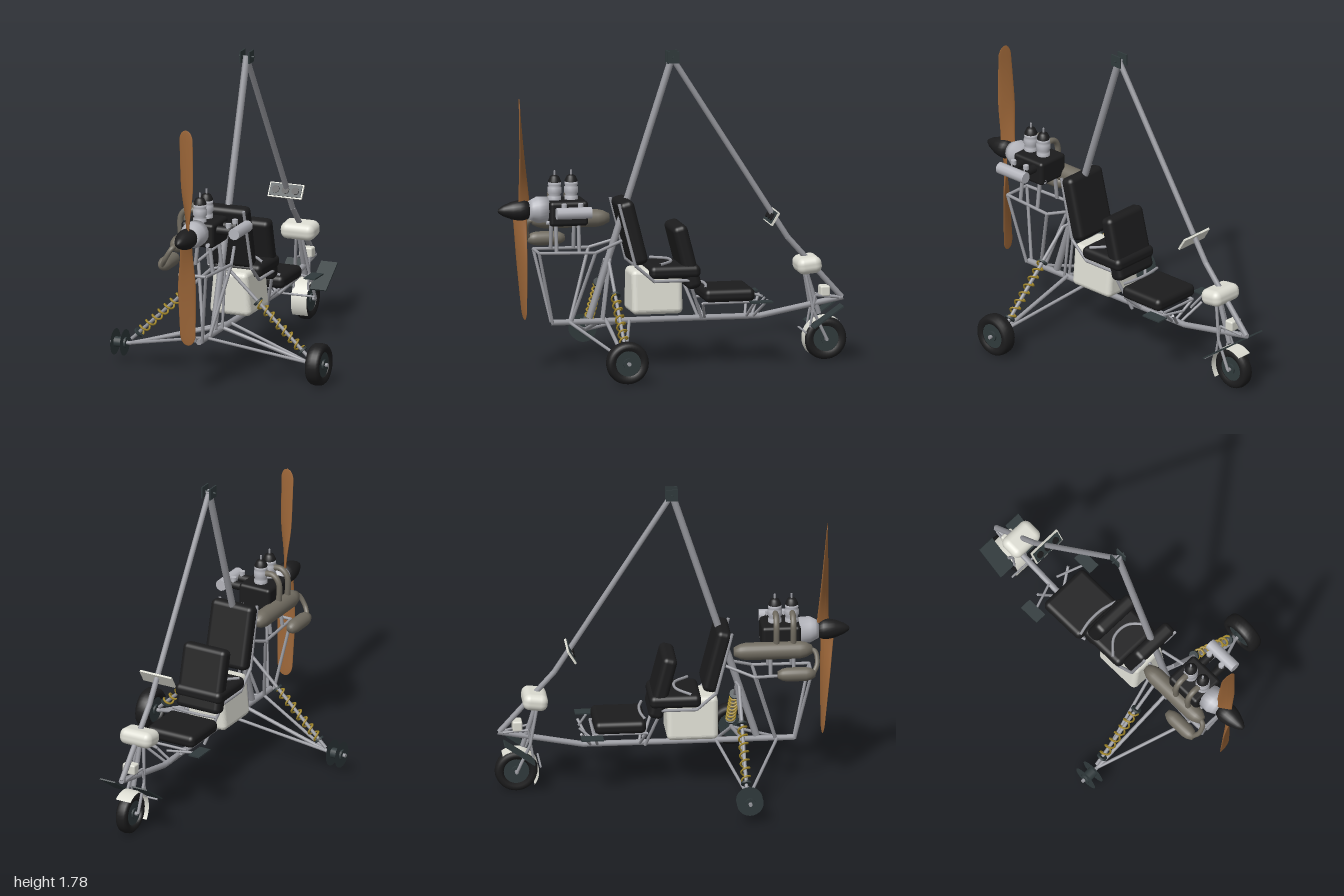
import * as THREE from 'three';
import { mergeGeometries } from 'three/addons/utils/BufferGeometryUtils.js';
import { RoundedBoxGeometry } from 'three/addons/geometries/RoundedBoxGeometry.js';

const V = (x, y, z) => new THREE.Vector3(x, y, z);

export function createModel() {
  const model = new THREE.Group();
  const mat = (name, color, side = THREE.FrontSide) => {
    const m = new THREE.MeshStandardMaterial({ color, side });
    m.name = name;
    return m;
  };
  const steel = mat('tube grey', 0x97989e);
  const alloy = mat('engine alloy', 0xb4b5bc);
  const black = mat('black', 0x1c1c1d);
  const dark = mat('dark slate', 0x303a3c, THREE.DoubleSide);
  const white = mat('off white', 0xdcdcd2, THREE.DoubleSide);
  const wood = mat('propeller wood', 0x9c6638);
  const exhaust = mat('exhaust grey', 0x706b60);
  const yellow = mat('spring yellow', 0xa58a2c);

  const add = (name, geo, material, x = 0, y = 0, z = 0, rx = 0) => {
    const m = new THREE.Mesh(geo, material);
    m.name = name;
    m.position.set(x, y, z);
    m.rotation.x = rx;
    model.add(m);
    return m;
  };
  // Straight tubes through a list of [x, y, z] points
  const rod = (name, pts, r, material = steel) => {
    const parts = [];
    for (let i = 0; i + 1 < pts.length; i++) {
      const a = V(...pts[i]), b = V(...pts[i + 1]), d = b.clone().sub(a);
      const g = new THREE.CylinderGeometry(r, r, d.length(), 10);
      g.applyQuaternion(new THREE.Quaternion().setFromUnitVectors(V(0, 1, 0), d.normalize()));
      const c = a.add(b).multiplyScalar(0.5);
      parts.push(g.translate(c.x, c.y, c.z));
    }
    return add(name, mergeGeometries(parts), material);
  };
  const pipe = (name, pts, r, material) => add(name, new THREE.TubeGeometry(
    new THREE.CatmullRomCurve3(pts.map(p => V(...p))), 30, r, 10), material);
  const rbox = (name, w, h, d, r, material, x, y, z, rx) =>
    add(name, new RoundedBoxGeometry(w, h, d, 4, r), material, x, y, z, rx);
  const box = (name, w, h, d, material, x, y, z, rx) =>
    add(name, new THREE.BoxGeometry(w, h, d), material, x, y, z, rx);
  const lathe = (pts, n = 24) => new THREE.LatheGeometry(pts.map(p => new THREE.Vector2(...p)), n);
  const both = fn => [1, -1].forEach(fn);

  // Keel, mast and front strut
  rod('keel', [[0, 0.27, 0.69], [0, 0.27, -0.5], [0, 0.36, -0.975]], 0.017);
  rod('mast', [[0, 0.29, 0.476], [0, 1.76, 0]], 0.02);
  rod('frontStrut', [[0, 1.75, 0], [0, 0.71, -0.66], [0, 0.36, -0.97]], 0.016);
  both(s => box('mastHeadPlate', 0.008, 0.068, 0.068, dark, s * 0.026, 1.757, 0));
  rod('mastHeadBolt', [[-0.045, 1.757, 0], [0.045, 1.757, 0]], 0.006, dark);

  // Engine frame and seat rails
  both(s => {
    rod('engineRail', [[s * 0.02, 0.27, 0.69], [s * 0.08, 0.68, 0.78], [s * 0.1, 0.675, 0.46],
      [s * 0.05, 0.73, 0.3]], 0.009);
    rod('engineStrut', [[s * 0.1, 0.675, 0.46], [s * 0.02, 0.28, 0.58]], 0.01);
    for (const z of [0.55, 0.68]) rod('engineMount', [[s * 0.08, 0.68, z], [s * 0.06, 0.85, z]], 0.011);
    rod('seatRail', [[s * 0.12, 0.95, 0.33], [s * 0.13, 0.6, 0.24], [s * 0.13, 0.505, 0.13],
      [s * 0.13, 0.505, -0.07], [s * 0.06, 0.275, -0.155]], 0.009);
    rod('frontSeatRail', [[s * 0.02, 0.275, -0.18], [s * 0.12, 0.37, -0.15], [s * 0.12, 0.37, -0.45],
      [s * 0.02, 0.275, -0.42]], 0.008);
    rod('seatLeg', [[s * 0.02, 0.275, -0.46], [s * 0.12, 0.375, -0.52]], 0.008);
    rod('passengerPegArm', [[s * 0.03, 0.375, -0.52], [s * 0.2, 0.375, -0.46]], 0.007);
    box('passengerPeg', 0.068, 0.008, 0.125, dark, s * 0.21, 0.382, -0.465);
  });
  rod('seatCrossTube', [[-0.12, 0.37, -0.45], [0.12, 0.37, -0.45]], 0.008);
  rod('engineCrossTube', [[-0.08, 0.68, 0.78], [0.08, 0.68, 0.78]], 0.009);

  // Seats, belts and tank
  rbox('rearSeatBack', 0.27, 0.37, 0.085, 0.03, black, 0, 0.782, 0.245, 0.25);
  rbox('rearSeatCushion', 0.3, 0.075, 0.29, 0.03, black, 0, 0.555, 0.01, 0);
  rbox('frontSeatBack', 0.28, 0.37, 0.085, 0.03, black, 0, 0.635, -0.06, 0.25);
  rbox('frontSeatCushion', 0.31, 0.075, 0.29, 0.03, black, 0, 0.413, -0.3, 0);
  pipe('frontLapBelt', [[-0.14, 0.46, -0.16], [-0.05, 0.465, -0.18], [0.05, 0.465, -0.18], [0.14, 0.46, -0.16]], 0.008, steel);
  pipe('rearLapBelt', [[-0.14, 0.6, 0.1], [-0.05, 0.605, 0.02], [0.05, 0.605, 0.02], [0.14, 0.6, 0.1]], 0.008, steel);
  const tank = new RoundedBoxGeometry(0.25, 0.25, 0.29, 4, 0.03);
  const tp = tank.attributes.position;
  for (let i = 0; i < tp.count; i++) if (tp.getY(i) > 0.05) tp.setX(i, tp.getX(i) * 0.85);
  tank.computeVertexNormals();
  add('fuelTank', tank, white, 0, 0.44, 0.108);

  // Instrument panel, front pod and lamp
  box('instrumentPanel', 0.205, 0.085, 0.012, white, 0, 0.83, -0.57, -0.55);
  const face = new THREE.Group();
  face.name = 'instrumentFace';
  face.position.set(0, 0.83, -0.57);
  face.rotation.x = -0.55;
  const plate = new THREE.Mesh(new THREE.BoxGeometry(0.19, 0.072, 0.006), dark);
  plate.position.z = 0.008;
  face.add(plate);
  for (const x of [-0.06, 0, 0.06]) {
    const dial = new THREE.Mesh(new THREE.CylinderGeometry(0.022, 0.022, 0.006, 18).rotateX(Math.PI / 2), black);
    dial.name = 'dial';
    dial.position.set(x, 0, 0.013);
    face.add(dial);
  }
  model.add(face);
  rbox('frontPod', 0.205, 0.095, 0.14, 0.04, white, 0, 0.555, -0.772, 0.12);
  rbox('headLamp', 0.08, 0.06, 0.055, 0.01, white, 0, 0.4, -0.87, 0);

  // Wheels: tyre is optional, axis along x
  const wheel = (name, x, y, z, halfWidth, tyre) => {
    const g = new THREE.Group();
    g.name = name;
    g.position.set(x, y, z);
    const part = (n, geo, m, px = 0) => {
      const p = new THREE.Mesh(geo, m);
      p.name = n;
      p.position.x = px;
      g.add(p);
    };
    if (tyre) {
      const w = halfWidth;
      part('tyre', lathe([[0.072, -w * 0.8], [0.088, -w], [0.106, -w * 0.95], [0.117, -w * 0.65], [0.121, 0],
        [0.117, w * 0.65], [0.106, w * 0.95], [0.088, w], [0.072, w * 0.8], [0.072, -w * 0.8]], 36).rotateZ(Math.PI / 2), black);
    }
    both(s => part('rimDisc', new THREE.CircleGeometry(0.075, 28).rotateY(Math.PI / 2), dark, s * halfWidth * 0.7));
    part('hub', new THREE.CylinderGeometry(0.03, 0.03, halfWidth * 1.95, 16).rotateZ(Math.PI / 2), dark);
    part('axle', new THREE.CylinderGeometry(0.011, 0.011, halfWidth * 2 + 0.03, 12).rotateZ(Math.PI / 2), steel);
    model.add(g);
  };
  wheel('leftWheel', 0.6, 0.13, 0.385, 0.042, true);
  wheel('rightWheelHub', -0.607, 0.13, 0.385, 0.042, false);
  wheel('noseWheel', 0, 0.13, -0.875, 0.034, true);

  // Suspension arms, shock absorbers and coil springs
  both(s => {
    const end = [s * 0.545, 0.13, 0.385];
    rod('wishbone', [[s * 0.015, 0.27, 0.59], end, [s * 0.015, 0.27, 0.25]], 0.009);
    rod('axleArm', [[s * 0.015, 0.28, 0.385], end, [s * 0.58, 0.13, 0.385]], 0.011);
    const top = V(s * 0.06, 0.61, 0.375), low = V(s * 0.54, 0.155, 0.375);
    rod('shockAbsorber', [top.toArray(), low.toArray()], 0.01);
    rod('shockBrace', [top.toArray(), [s * 0.02, 0.62, 0.36], [s * 0.02, 0.28, 0.4]], 0.008);
    const dir = low.clone().sub(top).normalize(), u = V(-dir.y, dir.x, 0), w = V(0, 0, 1);
    const coil = [];
    for (let i = 0; i <= 98; i++) {
      const a = i / 14 * Math.PI * 2;
      coil.push(top.clone().lerp(low, 0.36 + 0.54 * i / 98)
        .addScaledVector(u, 0.024 * Math.cos(a)).addScaledVector(w, 0.024 * Math.sin(a)));
    }
    add('coilSpring', new THREE.TubeGeometry(new THREE.CatmullRomCurve3(coil), 140, 0.006, 6), yellow);
    for (const t of [0.35, 0.91]) {
      const c = top.clone().lerp(low, t);
      rod('springSeat', [c.clone().addScaledVector(dir, -0.006).toArray(), c.clone().addScaledVector(dir, 0.006).toArray()], 0.03, dark);
    }
  });

  // Nose fork, mudguard and foot plates
  both(s => {
    rod('forkLeg', [[s * 0.05, 0.13, -0.875], [s * 0.045, 0.29, -0.8], [s * 0.02, 0.5, -0.76]], 0.009);
    rod('forkBrace', [[s * 0.045, 0.2, -0.78], [s * 0.04, 0.38, -0.81], [s * 0.015, 0.36, -0.95]], 0.007);
    box('footPlate', 0.1, 0.008, 0.208, dark, s * 0.103, 0.27, -0.866, Math.atan2(0.12, 0.17));
  });
  rod('steeringTube', [[0, 0.53, -0.76], [0, 0.27, -0.84]], 0.014);
  rod('steeringPeg', [[-0.1, 0.18, -0.745], [0.1, 0.18, -0.745]], 0.006);
  // Cylinder angle 0 points to +z once the axis lies along x
  const guard = new THREE.CylinderGeometry(0.126, 0.126, 0.095, 24, 1, true, -0.65, 2.9);
  guard.applyMatrix4(new THREE.Matrix4().makeBasis(V(0, 1, 0), V(-1, 0, 0), V(0, 0, 1)));
  add('mudguard', guard, white, 0, 0.13, -0.875);

  // Engine block, cylinders and gearbox
  rbox('crankcase', 0.2, 0.14, 0.22, 0.02, black, 0, 0.9, 0.61, 0);
  for (const z of [0.58, 0.675]) {
    add('cylinder', lathe([[0.038, 0], [0.038, 0.025], [0.03, 0.03], [0.04, 0.045], [0.04, 0.075], [0.032, 0.08],
      [0.038, 0.09], [0.036, 0.105], [0, 0.105]]), alloy, 0, 0.965, z);
    add('cylinderHead', lathe([[0.036, 0], [0.036, 0.015], [0.025, 0.04], [0.01, 0.048], [0, 0.048]]), black, 0, 1.062, z);
    rod('sparkPlug', [[0, 1.1, z], [0, 1.135, z]], 0.006);
    rod('carburettor', [[0.09, 0.925, z - 0.02], [0.18, 0.925, z - 0.02]], 0.025, black);
    rod('carburettorCap', [[0.165, 0.92, z - 0.02], [0.165, 0.97, z - 0.02]], 0.016, alloy);
    pipe('exhaustManifold', [[-0.02, 1.03, z], [-0.08, 1.03, z], [-0.115, 0.99, z], [-0.115, 0.85, z]], 0.017, exhaust);
  }
  rod('airFilter', [[0.22, 0.925, 0.51], [0.22, 0.925, 0.71]], 0.033, alloy);
  add('gearbox', lathe([[0, 0], [0.072, 0], [0.075, 0.06], [0.06, 0.09], [0.05, 0.11], [0, 0.11]]).rotateX(Math.PI / 2),
    alloy, 0, 0.915, 0.715);
  both(s => rod('crankcaseBolt', [[s * 0.07, 0.85, 0.5], [s * 0.07, 0.85, 0.735]], 0.012, alloy));

  // Exhaust drums and their link pipe
  const drum = (name, x, y, z0, z1, r) => {
    const l = z1 - z0, e = Math.min(0.07, l * 0.25);
    add(name, lathe([[0, 0], [r * 0.5, 0], [r * 0.85, e * 0.5], [r, e], [r, l - e], [r * 0.85, l - e * 0.5],
      [r * 0.5, l], [0, l]]).rotateX(Math.PI / 2), exhaust, x, y, z0);
  };
  drum('mainMuffler', -0.11, 0.838, 0.34, 0.78, 0.05);
  drum('afterMuffler', -0.185, 0.72, 0.58, 0.79, 0.04);
  pipe('mufflerLink', [[-0.11, 0.838, 0.76], [-0.12, 0.83, 0.795], [-0.155, 0.77, 0.805], [-0.185, 0.72, 0.78]], 0.014, exhaust);

  // Propeller: swept, twisted blades with a pointed spinner
  const blade = new THREE.CylinderGeometry(1, 1, 1, 20, 24);
  const bp = blade.attributes.position;
  for (let i = 0; i < bp.count; i++) {
    const t = bp.getY(i) + 0.5, X = bp.getX(i), Z = bp.getZ(i);
    const y = 0.63 * (1 - (1 - t) ** 1.5);
    const k = y / 0.63;
    const round = Math.sqrt(Math.max(0, 1 - Math.max(0, (k - 0.9) / 0.1) ** 2));
    const half = (0.022 + 0.024 * THREE.MathUtils.smoothstep(k, 0.05, 0.5) - 0.008 * Math.max(0, k - 0.6)) * round;
    const depth = 0.03 * (1 - k) + 0.005;
    bp.setXYZ(i, X * half, y, 0.021 - depth + depth * X * round + Z * (0.012 * (1 - k) + 0.003) * round);
  }
  blade.computeVertexNormals();
  add('upperBlade', blade, wood, 0, 0.92, 0.862);
  add('lowerBlade', blade, wood, 0, 0.92, 0.862, Math.PI);
  add('spinner', lathe([[0, 0], [0.045, 0], [0.057, 0.03], [0.058, 0.06], [0.05, 0.1], [0.03, 0.15], [0.012, 0.176],
    [0, 0.18]]).rotateX(Math.PI / 2), black, 0, 0.915, 0.82);

  return model;
}
